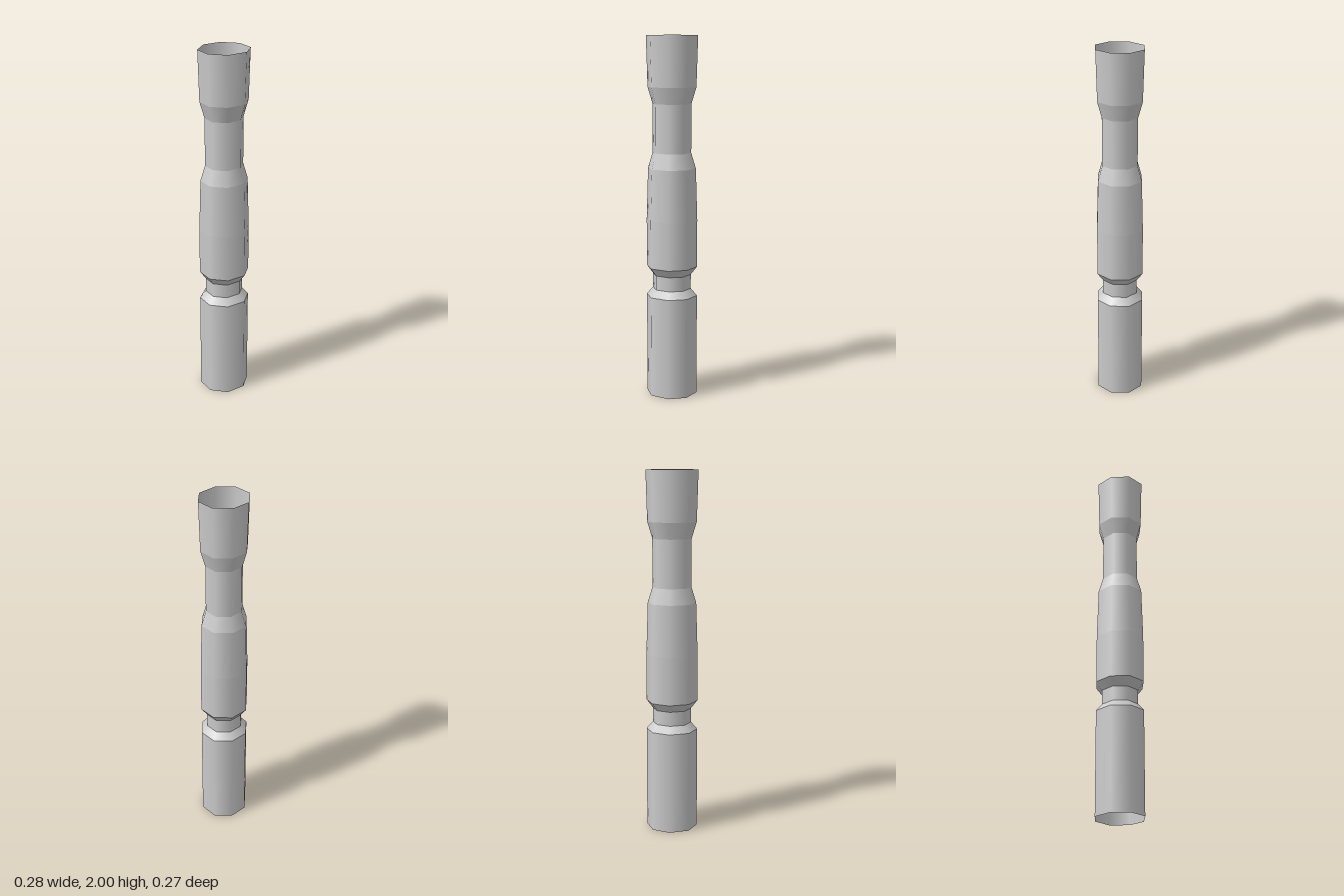
import * as THREE from 'three';

// Ring profile from bottom to top: [height, radius]
const RINGS = [
  [0, 0.142], [0.57, 0.142], [0.61, 0.107], [0.69, 0.107], [0.735, 0.142], [1.0, 0.142],
  [1.285, 0.133], [1.37, 0.107], [1.635, 0.107], [1.725, 0.134], [2.0, 0.142],
];
const NAMES = [
  'lowerSleeve', 'lowerShoulder', 'lowerNeck', 'gripFlare', 'grip',
  'gripTaper', 'gripShoulder', 'upperNeck', 'mouthFlare', 'mouth',
];
const SIDES = 8;

// One open octagonal band, smooth around, with sharp edges to its neighbours
function makeBand([y0, r0], [y1, r1]) {
  const geometry = new THREE.CylinderGeometry(r1, r0, y1 - y0, SIDES, 1, true);
  geometry.scale(1, 0.957, 1 / 1).scale(1, 1 / 0.957, 0.957); // slightly flattened front to back
  geometry.translate(0, (y0 + y1) / 2, 0);
  // Front and back corners sit a touch off centre
  const p = geometry.attributes.position;
  for (let i = 0; i < p.count; i++) {
    if (Math.abs(p.getX(i)) < 0.01) p.setX(i, 0.035 * Math.abs(p.getZ(i)));
  }
  return geometry;
}

export function createModel() {
  const group = new THREE.Group();
  group.name = 'hollowHandle';
  const material = new THREE.MeshStandardMaterial({ color: 0xcccccc, side: THREE.DoubleSide });
  NAMES.forEach((name, i) => {
    const band = new THREE.Mesh(makeBand(RINGS[i], RINGS[i + 1]), material);
    band.name = name;
    group.add(band);
  });
  return group;
}
